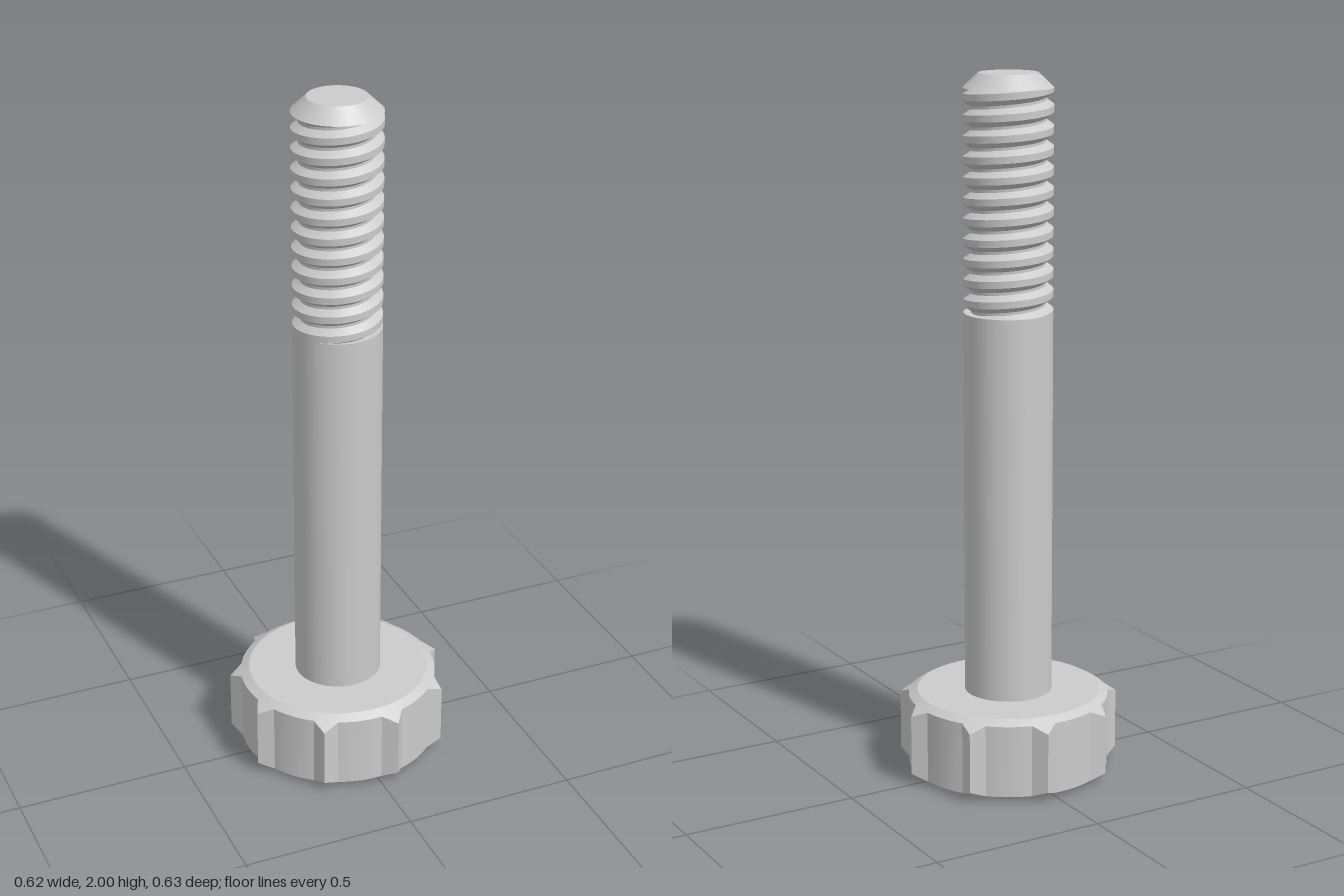
import * as THREE from 'three';
import { toCreasedNormals } from 'three/addons/utils/BufferGeometryUtils.js';

const AXIS_X = -0.0105;
const SHANK_R = 0.125, ROOT_R = 0.104;
const THREAD_START = 1.34, THREAD_END = 1.96, PITCH = 0.0565;
const HEAD_H = 0.237, HEAD_FACE_R = 0.262, HEAD_R = 0.287, TOOTH_R = 0.3185, TEETH = 9;

// Surface through rows of points; columns run counter-clockwise seen from above
function skin(rows, crease) {
  const pos = [];
  const tri = (a, b, c) => {
    if (new THREE.Triangle(a, b, c).getArea() > 1e-9) pos.push(...a, ...b, ...c);
  };
  for (let i = 0; i < rows.length - 1; i++) {
    for (let j = 0; j < rows[i].length - 1; j++) {
      const a = rows[i][j], b = rows[i][j + 1], c = rows[i + 1][j + 1], d = rows[i + 1][j];
      tri(a, b, c);
      tri(a, c, d);
    }
  }
  const geo = new THREE.BufferGeometry();
  geo.setAttribute('position', new THREE.Float32BufferAttribute(pos, 3));
  return toCreasedNormals(geo, crease);
}

const polar = (r, y, t) => new THREE.Vector3(r * Math.cos(t), y, -r * Math.sin(t));

function lathe(points) {
  const geo = new THREE.LatheGeometry(points.map(([r, y]) => new THREE.Vector2(r, y)), 72);
  return toCreasedNormals(geo, 0.4);
}

// Round head with pointed grip teeth, chamfered by cones above and below
function headGeometry() {
  const outline = [];
  const step = (2 * Math.PI) / TEETH, half = 0.122;
  const tip = new THREE.Vector2(TOOTH_R, 0);
  const foot = new THREE.Vector2(HEAD_R * Math.cos(half), HEAD_R * Math.sin(half));
  for (let k = 0; k < TEETH; k++) {
    const add = (r, t) => outline.push([r, t + k * step]);
    for (let i = -3; i <= 3; i++) {
      const p = tip.clone().lerp(foot, Math.abs(i) / 3);
      add(p.length(), Math.sign(i) * Math.atan2(p.y, p.x));
    }
    for (let i = 1; i < 8; i++) add(HEAD_R, half + ((step - 2 * half) * i) / 8);
  }
  outline.push([outline[0][0], outline[0][1] + 2 * Math.PI]);
  const drop = (r) => (r - HEAD_FACE_R) * 0.58;
  const ring = (f) => outline.map(([r, t]) => polar(...f(r), t));
  return skin([
    ring(() => [0, 0]),
    ring(() => [HEAD_FACE_R, 0]),
    ring((r) => [r, drop(r)]),
    ring((r) => [r, HEAD_H - drop(r)]),
    ring(() => [HEAD_FACE_R, HEAD_H]),
    ring(() => [0, HEAD_H]),
  ], 0.3);
}

// Right-hand helical thread with a trapezoid profile, cut flat at both ends
function threadGeometry() {
  const profile = [[0, ROOT_R], [0.14, ROOT_R], [0.4, SHANK_R], [0.74, SHANK_R], [1, ROOT_R]];
  const radiusAt = (phase) => {
    const f = phase - Math.floor(phase);
    const k = Math.max(1, profile.findIndex((p) => p[0] >= f));
    const [f0, r0] = profile[k - 1], [f1, r1] = profile[k];
    return r0 + ((r1 - r0) * (f - f0)) / (f1 - f0);
  };
  const rows = [], cols = 72;
  const turns = Math.ceil((THREAD_END - THREAD_START) / PITCH);
  for (let n = -1; n <= turns; n++) {
    for (const [f] of profile.slice(0, -1)) {
      const row = [];
      for (let j = 0; j <= cols; j++) {
        const u = j / cols;
        const raw = THREAD_START + (n + f + u) * PITCH;
        const y = THREE.MathUtils.clamp(raw, THREAD_START, THREAD_END);
        const phase = y === raw ? f : (y - THREAD_START) / PITCH - u;
        row.push(polar(radiusAt(phase), y, u * 2 * Math.PI));
      }
      rows.push(row);
    }
  }
  return skin(rows, 0.45);
}

export function createModel() {
  const bolt = new THREE.Group();
  bolt.name = 'thumbBolt';
  const material = new THREE.MeshStandardMaterial({ color: 0xcccccc });
  const add = (name, geometry) => {
    const mesh = new THREE.Mesh(geometry, material);
    mesh.name = name;
    mesh.position.x = AXIS_X;
    bolt.add(mesh);
  };

  add('head', headGeometry());
  // Plain shank, closed by the shoulder where the thread begins
  add('shank', lathe([[SHANK_R, HEAD_H], [SHANK_R, THREAD_START], [0, THREAD_START]]));
  add('thread', threadGeometry());
  // Chamfered end above the thread
  add('tip', lathe([[0, THREAD_END], [SHANK_R, THREAD_END], [0.083, 2], [0, 2]]));
  return bolt;
}
